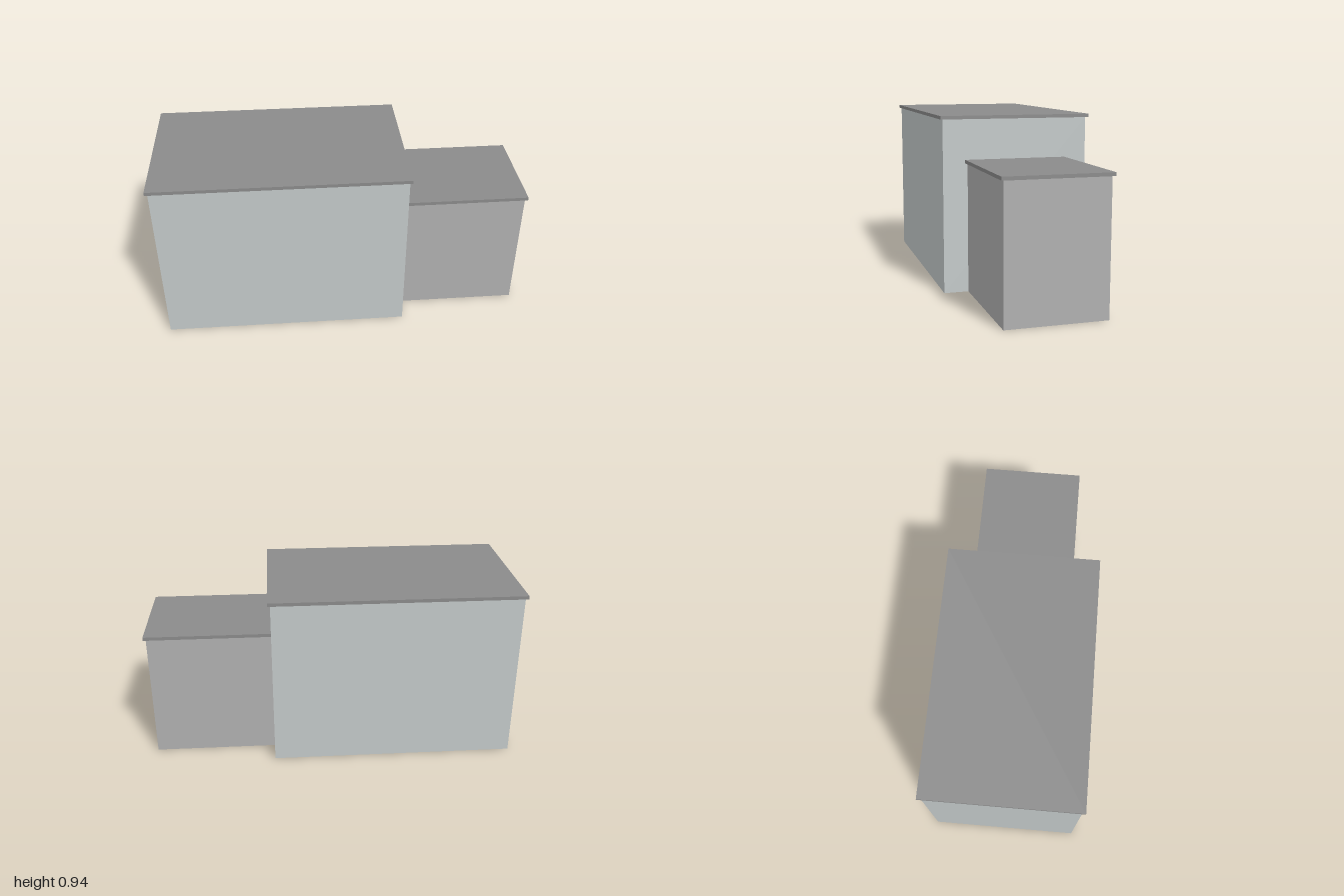
import * as THREE from 'three';

// Box spanning x0..x1 and y0..y1, centred on z = 0
function slab(name, x0, x1, y0, y1, depth, material) {
  const mesh = new THREE.Mesh(new THREE.BoxGeometry(x1 - x0, y1 - y0, depth), material);
  mesh.position.set((x0 + x1) / 2, (y0 + y1) / 2, 0);
  mesh.name = name;
  return mesh;
}

// A plain block with a thin flat roof that overhangs on every side
function block(name, x0, x1, height, depth, wallMaterial, roofMaterial) {
  const overhang = 0.013, thickness = 0.018;
  const group = new THREE.Group();
  group.name = name;
  group.add(
    slab(name + 'Walls', x0, x1, 0, height, depth, wallMaterial),
    slab(name + 'Roof', x0 - overhang, x1 + overhang, height, height + thickness, depth + 2 * overhang, roofMaterial)
  );
  return group;
}

export function createModel() {
  const mainWall = new THREE.MeshStandardMaterial({ color: 0xc3c9c9 });
  const annexWall = new THREE.MeshStandardMaterial({ color: 0xb0b0b0 });
  const roof = new THREE.MeshStandardMaterial({ color: 0x8b8b8b });

  const model = new THREE.Group();
  model.name = 'building';
  model.add(
    block('mainBlock', -0.987, 0.327, 0.924, 0.79, mainWall, roof),
    block('annex', 0.327, 0.987, 0.693, 0.526, annexWall, roof)
  );
  return model;
}
